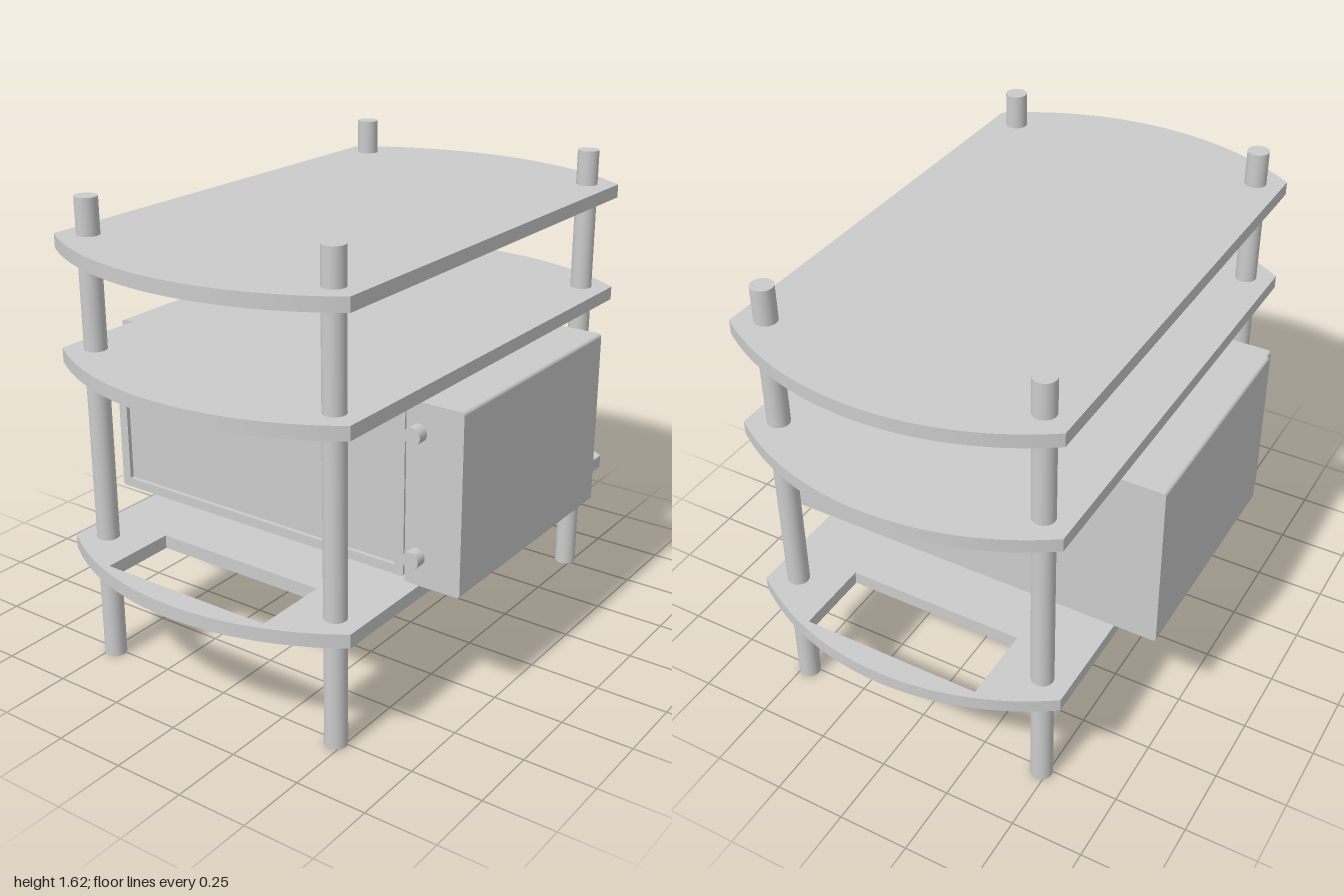
import * as THREE from 'three';

const material = new THREE.MeshStandardMaterial({ color: 0xcccccc });

function addMesh(parent, name, geometry, x = 0, y = 0, z = 0) {
  const mesh = new THREE.Mesh(geometry, material);
  mesh.name = name;
  mesh.position.set(x, y, z);
  parent.add(mesh);
  return mesh;
}

// Closed rectangle with slightly rounded corners
function rect(path, x0, y0, x1, y1, r = 0) {
  if (r === 0) {
    return path.moveTo(x0, y0).lineTo(x1, y0).lineTo(x1, y1).lineTo(x0, y1).lineTo(x0, y0);
  }
  path.moveTo(x0 + r, y0).lineTo(x1 - r, y0);
  path.absarc(x1 - r, y0 + r, r, -Math.PI / 2, 0);
  path.absarc(x1 - r, y1 - r, r, 0, Math.PI / 2);
  path.absarc(x0 + r, y1 - r, r, Math.PI / 2, Math.PI);
  path.absarc(x0 + r, y0 + r, r, Math.PI, Math.PI * 1.5);
  return path;
}

// Extrudes a (z, y) outline from x = 0 towards -x
function extrudeX(shape, depth) {
  const geometry = new THREE.ExtrudeGeometry(shape, { depth, bevelEnabled: false, curveSegments: 6 });
  return geometry.rotateY(-Math.PI / 2);
}

// Shelf outline: straight long edges, bowed ends
function shelfGeometry(withSlots) {
  const halfZ = 0.572, radius = 0.9925, cx = 1 - radius;
  const a = Math.asin(halfZ / radius);
  const shape = new THREE.Shape();
  shape.absarc(cx, 0, radius, -a, a);
  shape.absarc(-cx, 0, radius, Math.PI - a, Math.PI + a);
  shape.closePath();
  if (withSlots) {
    for (const [x0, x1] of [[0.65, 0.92], [-0.92, -0.65]]) {
      shape.holes.push(rect(new THREE.Path(), x0, -0.32, x1, 0.32));
    }
  }
  const geometry = new THREE.ExtrudeGeometry(shape, { depth: 0.047, bevelEnabled: false, curveSegments: 32 });
  return geometry.rotateX(-Math.PI / 2);
}

function createOven() {
  const oven = new THREE.Group();
  oven.name = 'oven';
  const y0 = 0.449, y1 = 1.073;

  // Main body with softened end edges
  addMesh(oven, 'ovenBody', extrudeX(rect(new THREE.Shape(), -0.725, y0, 0.72, y1, 0.012), 0.835), 0.445);

  // Control panel beside the door, flush with the body
  addMesh(oven, 'controlPanel', extrudeX(rect(new THREE.Shape(), 0.515, y0, 0.72, y1, 0.012), 0.058), -0.39);

  // Door frame around a recessed window
  const frame = rect(new THREE.Shape(), -0.71, y0 + 0.012, 0.508, y1 - 0.012, 0.01);
  frame.holes.push(rect(new THREE.Path(), -0.675, y0 + 0.045, 0.473, y1 - 0.045));
  addMesh(oven, 'doorFrame', extrudeX(frame, 0.055), -0.39);
  addMesh(oven, 'doorWindow', new THREE.BoxGeometry(0.04, 0.56, 1.17), -0.41, (y0 + y1) / 2, -0.101);

  // Two control knobs
  for (const y of [0.55, 0.972]) {
    const knob = new THREE.CylinderGeometry(0.03, 0.03, 0.04, 24).rotateZ(Math.PI / 2);
    addMesh(oven, 'knob', knob, -0.468, y, 0.56);
  }
  return oven;
}

export function createModel() {
  const model = new THREE.Group();
  model.name = 'shelfStand';

  // Lower shelf has a slot at each end
  addMesh(model, 'lowerShelf', shelfGeometry(true), 0, 0.402, -0.002);
  addMesh(model, 'middleShelf', shelfGeometry(false), 0, 1.074, -0.002);
  addMesh(model, 'upperShelf', shelfGeometry(false), 0, 1.454, -0.002);

  // Four round posts through every shelf
  for (const x of [-0.763, 0.763]) {
    for (const z of [-0.479, 0.474]) {
      addMesh(model, 'post', new THREE.CylinderGeometry(0.038, 0.038, 1.624, 32), x, 0.812, z);
    }
  }

  model.add(createOven());
  return model;
}
